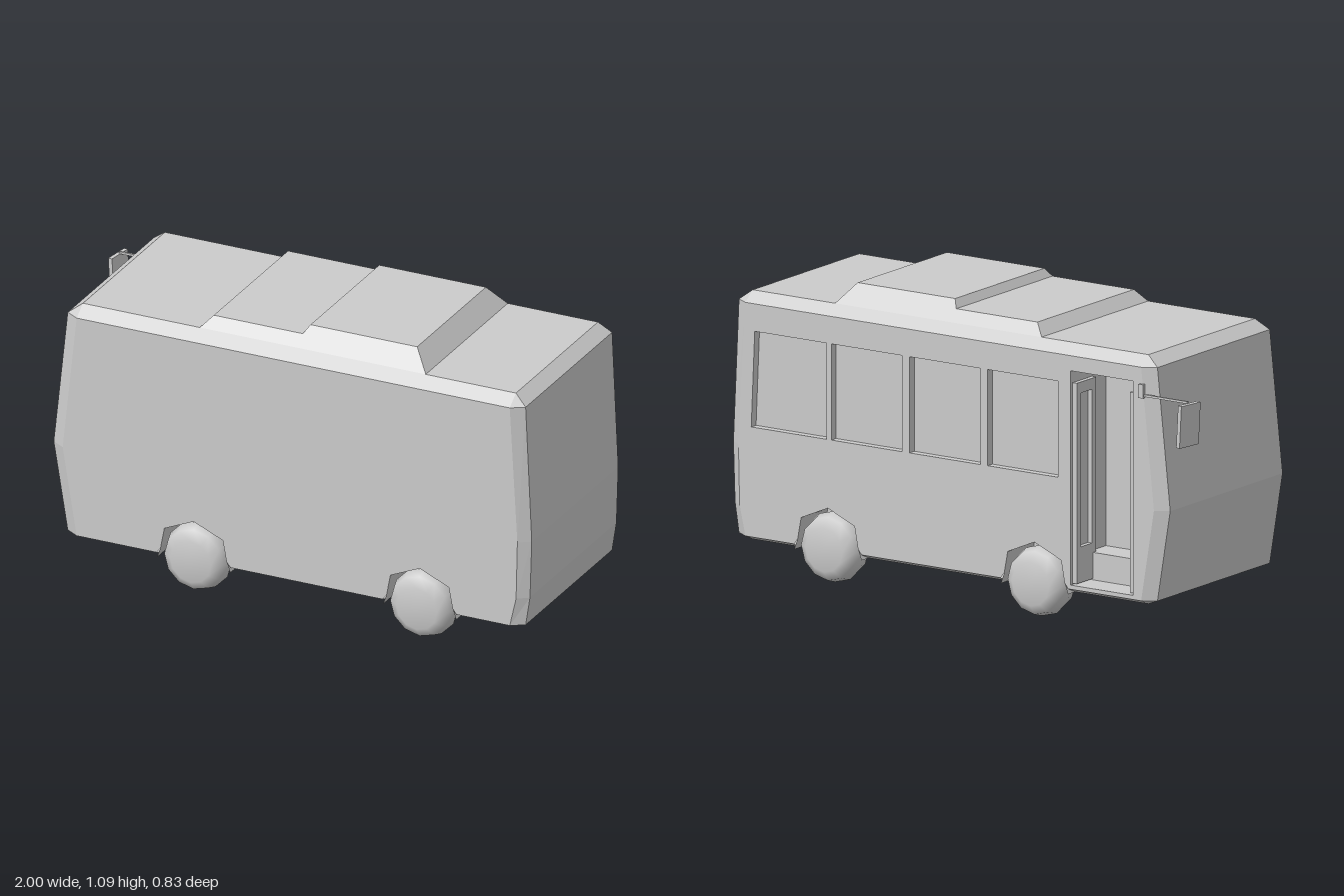
import * as THREE from 'three';

const L = 0.39, R = -0.365;            // z of the two side walls
const LI = 0.34, RI = -0.32;           // z of roof and floor edges
const XF = -0.78, XB = 0.925;          // x of roof and floor edges
const FLOOR = 0.11, SILL = 0.13, EAVE = 0.98, ROOF = 1.017;
const AXLES = [-0.32, 0.57];

const skin = new THREE.MeshStandardMaterial({ color: 0xcccccc, side: THREE.DoubleSide });
const solid = new THREE.MeshStandardMaterial({ color: 0xcccccc });

function add(parent, name, geometry, material = skin, x = 0, y = 0, z = 0) {
  const mesh = new THREE.Mesh(geometry, material);
  mesh.name = name;
  mesh.position.set(x, y, z);
  parent.add(mesh);
  return mesh;
}

// Flat-shaded surface from four-cornered patches
function patches(quads) {
  const pos = [];
  for (const [a, b, c, d] of quads) pos.push(...a, ...b, ...c, ...a, ...c, ...d);
  const g = new THREE.BufferGeometry();
  g.setAttribute('position', new THREE.Float32BufferAttribute(pos, 3));
  g.computeVertexNormals();
  return g;
}

const toShape = (pts) => new THREE.Shape(pts.map(([x, y]) => new THREE.Vector2(x, y)));
const rect = (x0, x1, y0, y1) => [[x0, y0], [x1, y0], [x1, y1], [x0, y1]];

// Wheel arch outline, front to rear
const arch = (cx, base) => [[-0.145, base], [-0.13, 0.15], [-0.115, 0.23], [0, 0.28],
  [0.115, 0.23], [0.13, 0.15], [0.145, base]].map(([x, y]) => [cx + x, y]);

// Pocket sunk into a wall: rim walls between two depths and a back panel
function recess(parent, name, pts, z0, z1, closed = true) {
  const group = new THREE.Group();
  group.name = name;
  const quads = [];
  for (let i = 0; i < pts.length - (closed ? 0 : 1); i++) {
    const a = pts[i], b = pts[(i + 1) % pts.length];
    quads.push([[...a, z0], [...b, z0], [...b, z1], [...a, z1]]);
  }
  add(group, name + 'Rim', patches(quads));
  add(group, name + 'Panel', new THREE.ShapeGeometry(toShape(pts)), skin, 0, 0, z1);
  parent.add(group);
}

function sideWall(parent, name, z, openings) {
  const shape = toShape([[XF, SILL], ...AXLES.flatMap((cx) => arch(cx, SILL)), [XB, SILL],
    [0.95, 0.24], [0.955, 0.46], [XB, EAVE], [XF, EAVE], [-0.835, 0.465]]);
  for (const pts of openings) shape.holes.push(toShape(pts));
  const g = new THREE.ShapeGeometry(shape);
  if (z < 0) {                         // face outwards on the far side
    const idx = g.index.array;
    for (let i = 0; i < idx.length; i += 3) [idx[i], idx[i + 1]] = [idx[i + 1], idx[i]];
    g.computeVertexNormals();
  }
  add(parent, name, g, skin, 0, 0, z);
}

// End panel with bevelled vertical corners; rows are [y, outer x, corner x]
function endPanel(parent, name, rows, edgeX) {
  const quads = [];
  const section = ([y, xo, xi]) => [[xi, y, L], [xo, y, 0.36], [xo, y, -0.336], [xi, y, R]];
  const lines = [
    [[edgeX, FLOOR, LI], [edgeX, FLOOR, LI], [edgeX, FLOOR, RI], [edgeX, FLOOR, RI]],
    ...rows.map(section),
    [[edgeX, ROOF, LI], [edgeX, ROOF, LI], [edgeX, ROOF, RI], [edgeX, ROOF, RI]],
  ];
  for (let j = 0; j < lines.length - 1; j++) {
    for (let i = 0; i < 3; i++) {
      const q = [lines[j][i], lines[j][i + 1], lines[j + 1][i + 1], lines[j + 1][i]];
      quads.push(edgeX < 0 ? q.reverse() : q);
    }
  }
  add(parent, name, patches(quads));
}

// Stepped roof: lengthwise profile with sides leaning inwards
function roof(parent) {
  const profile = [[XF, ROOF], [-0.32, ROOF], [-0.28, 1.06], [0.07, 1.06], [0.09, 1.09],
    [0.51, 1.09], [0.57, ROOF], [XB, ROOF]];
  const inset = (y) => (y - ROOF) * 0.73;
  const quads = [];
  for (let i = 0; i < profile.length - 1; i++) {
    const [x0, y0] = profile[i], [x1, y1] = profile[i + 1];
    const l0 = LI - inset(y0), l1 = LI - inset(y1), r0 = RI + inset(y0), r1 = RI + inset(y1);
    quads.push([[x0, y0, l0], [x1, y1, l1], [x1, y1, r1], [x0, y0, r0]]);
    if (y0 > ROOF || y1 > ROOF) {
      quads.push([[x0, ROOF, LI], [x1, ROOF, LI], [x1, y1, l1], [x0, y0, l0]]);
      quads.push([[x1, ROOF, RI], [x0, ROOF, RI], [x0, y0, r0], [x1, y1, r1]]);
    }
  }
  quads.push([[XF, EAVE, L], [XB, EAVE, L], [XB, ROOF, LI], [XF, ROOF, LI]]);
  quads.push([[XB, EAVE, R], [XF, EAVE, R], [XF, ROOF, RI], [XB, ROOF, RI]]);
  add(parent, 'roof', patches(quads));
}

// Floor notched for the wheels, with bevelled sills between them
function underside(parent) {
  const notch = (z, zi, s) => AXLES.flatMap((cx) =>
    [[cx - 0.145, z], [cx - 0.145, zi], [cx + 0.145, zi], [cx + 0.145, z]]);
  const near = notch(LI, 0.22), far = notch(RI, -0.2).reverse();
  const g = new THREE.ShapeGeometry(toShape([[XF, LI], ...near, [XB, LI], [XB, RI], ...far, [XF, RI]]));
  g.rotateX(Math.PI / 2);
  add(parent, 'floor', g, skin, 0, FLOOR, 0);
  const stops = [XF, ...AXLES.flatMap((cx) => [cx - 0.145, cx + 0.145]), XB];
  const quads = [];
  for (let i = 0; i < stops.length; i += 2) {
    const a = stops[i], b = stops[i + 1];
    quads.push([[a, FLOOR, LI], [b, FLOOR, LI], [b, SILL, L], [a, SILL, L]]);
    quads.push([[b, FLOOR, RI], [a, FLOOR, RI], [a, SILL, R], [b, SILL, R]]);
  }
  add(parent, 'sills', patches(quads));
}

export function createModel() {
  const bus = new THREE.Group();
  bus.name = 'bus';

  // Shell
  const windows = [[0.575, 0.9], [0.25, 0.555], [-0.088, 0.218], [-0.422, -0.118]]
    .map(([a, b]) => rect(a, b, 0.53, 0.88));
  windows[0][2][0] = 0.885;            // rearmost window leans with the tail
  const door = rect(-0.745, -0.475, 0.145, 0.925);
  const body = new THREE.Group();
  body.name = 'body';
  bus.add(body);
  sideWall(body, 'leftWall', L, []);
  sideWall(body, 'rightWall', R, [...windows, door]);
  endPanel(body, 'frontPanel', [[SILL, -0.83, XF], [0.465, -0.885, -0.835], [EAVE, -0.83, XF]], XF);
  endPanel(body, 'rearPanel', [[SILL, 0.973, XB], [0.24, 0.99, 0.95], [0.46, 0.997, 0.955],
    [EAVE, 0.973, XB]], XB);
  roof(body);
  underside(body);

  // Windows and doorway with step and folded leaves
  windows.forEach((pts) => recess(bus, 'window', pts, R, R + 0.03));
  recess(bus, 'doorway', door, R, R + 0.22);
  add(bus, 'doorStep', new THREE.BoxGeometry(0.27, 0.1, 0.11), solid, -0.61, 0.195, R + 0.165);
  for (const x of [-0.487, -0.733]) {
    const leaf = new THREE.Shape([[0.01, 0.15], [0.13, 0.15], [0.13, 0.88], [0.01, 0.88]]
      .map(([u, v]) => new THREE.Vector2(u, v)));
    leaf.holes.push(toShape(rect(0.035, 0.105, 0.28, 0.84)));
    const g = new THREE.ExtrudeGeometry(leaf, { depth: 0.018, bevelEnabled: false });
    g.rotateY(-Math.PI / 2);
    add(bus, 'doorLeaf', g, solid, x + 0.009, 0, R);
  }

  // Wheels and wheel wells
  const tyre = new THREE.LatheGeometry([[0, -0.07], [0.08, -0.07], [0.115, -0.045], [0.129, 0],
    [0.115, 0.045], [0.08, 0.07], [0, 0.07]].map(([r, h]) => new THREE.Vector2(r, h)), 12);
  tyre.rotateX(Math.PI / 2);
  for (const cx of AXLES) {
    for (const [wall, inner, z] of [[L, 0.22, 0.345], [R, -0.2, -0.32]]) {
      recess(bus, 'wheelWell', arch(cx, FLOOR), wall, inner, false);
      add(bus, 'wheel', tyre, skin, cx, 0.132, z);
    }
  }

  // Wing mirror on a thin arm
  const mirror = new THREE.Group();
  mirror.name = 'mirror';
  bus.add(mirror);
  add(mirror, 'mirrorBracket', new THREE.BoxGeometry(0.02, 0.05, 0.014), solid, -0.785, 0.895, R - 0.004);
  add(mirror, 'mirrorArm', new THREE.BoxGeometry(0.2, 0.008, 0.008), solid, -0.88, 0.879, R + 0.001);
  const plate = add(mirror, 'mirrorPlate', new THREE.BoxGeometry(0.016, 0.155, 0.1), solid, -0.98, 0.797, -0.36);
  plate.rotation.set(0, -0.14, 0.06);
  return bus;
}
